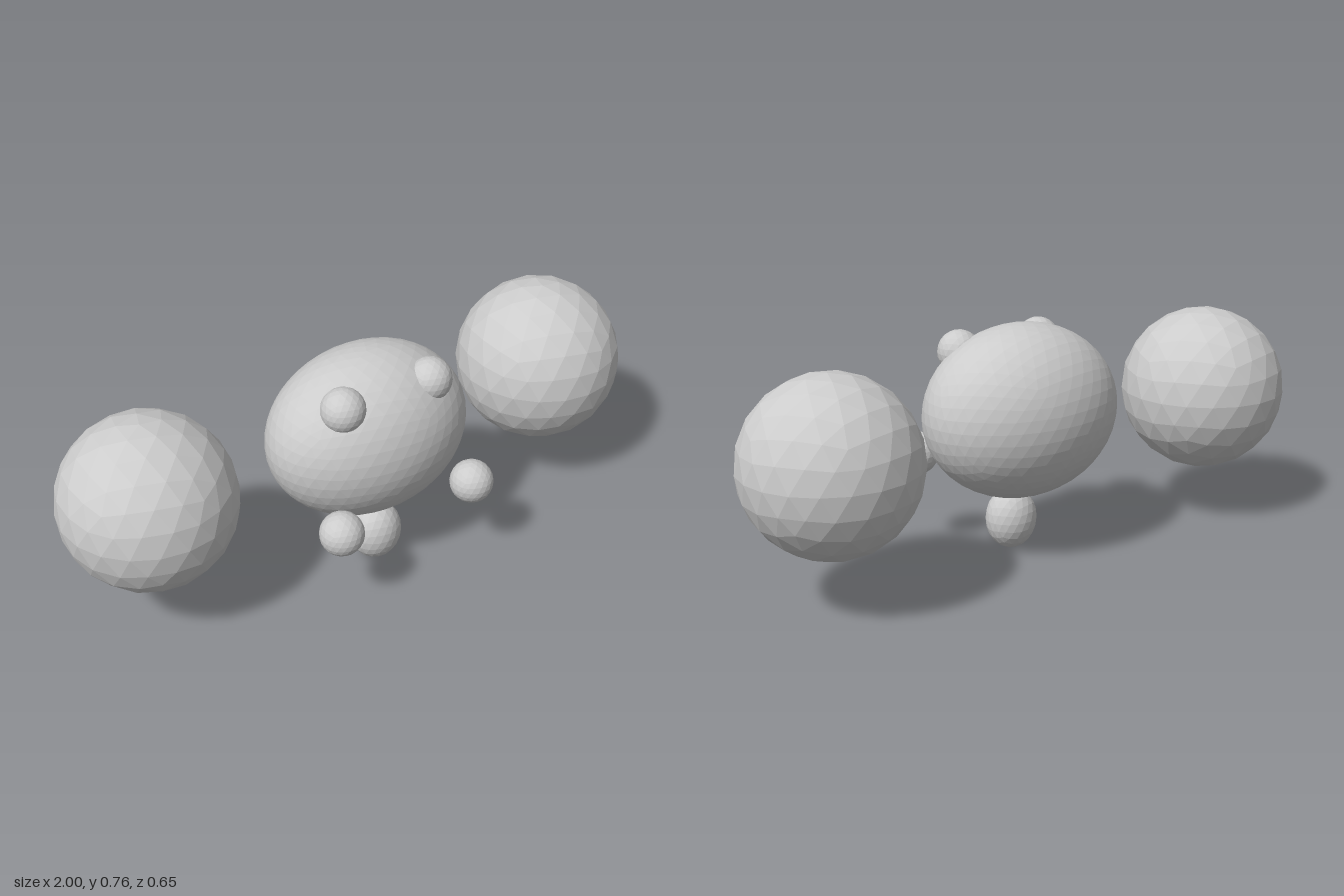
import * as THREE from 'three';

const material = new THREE.MeshStandardMaterial({ color: 0xcccccc, flatShading: true });
// Turns the icosahedron so that one vertex points straight up
const POLE_TILT = -Math.atan(2 / (1 + Math.sqrt(5)));

// Faceted ellipsoid from a unit icosphere
function ellipsoid(name, detail, [rx, ry, rz], [x, y, z]) {
  const geometry = new THREE.IcosahedronGeometry(1, detail);
  geometry.rotateZ(POLE_TILT).scale(rx, ry, rz);
  const mesh = new THREE.Mesh(geometry, material);
  mesh.name = name;
  mesh.position.set(x, y, z);
  return mesh;
}

export function createModel() {
  const model = new THREE.Group();
  model.name = 'floatingBallCreature';

  // Wide central body and the small egg below it
  model.add(ellipsoid('body', 7, [0.34, 0.28, 0.247], [0, 0.48, 0.015]));
  model.add(ellipsoid('lowerEgg', 3, [0.087, 0.103, 0.078], [0, 0.103, 0.07]));

  // Mirrored pairs
  for (const [side, label] of [[1, 'left'], [-1, 'right']]) {
    model.add(
      ellipsoid(label + 'SideBall', 3, [0.275, 0.275, 0.275], [side * 0.725, 0.453, -0.05]),
      ellipsoid(label + 'Eye', 3, [0.07, 0.07, 0.07], [side * 0.155, 0.67, 0.13]),
      ellipsoid(label + 'Hand', 3, [0.07, 0.07, 0.07], [side * 0.24, 0.322, 0.255]),
    );
  }
  return model;
}
